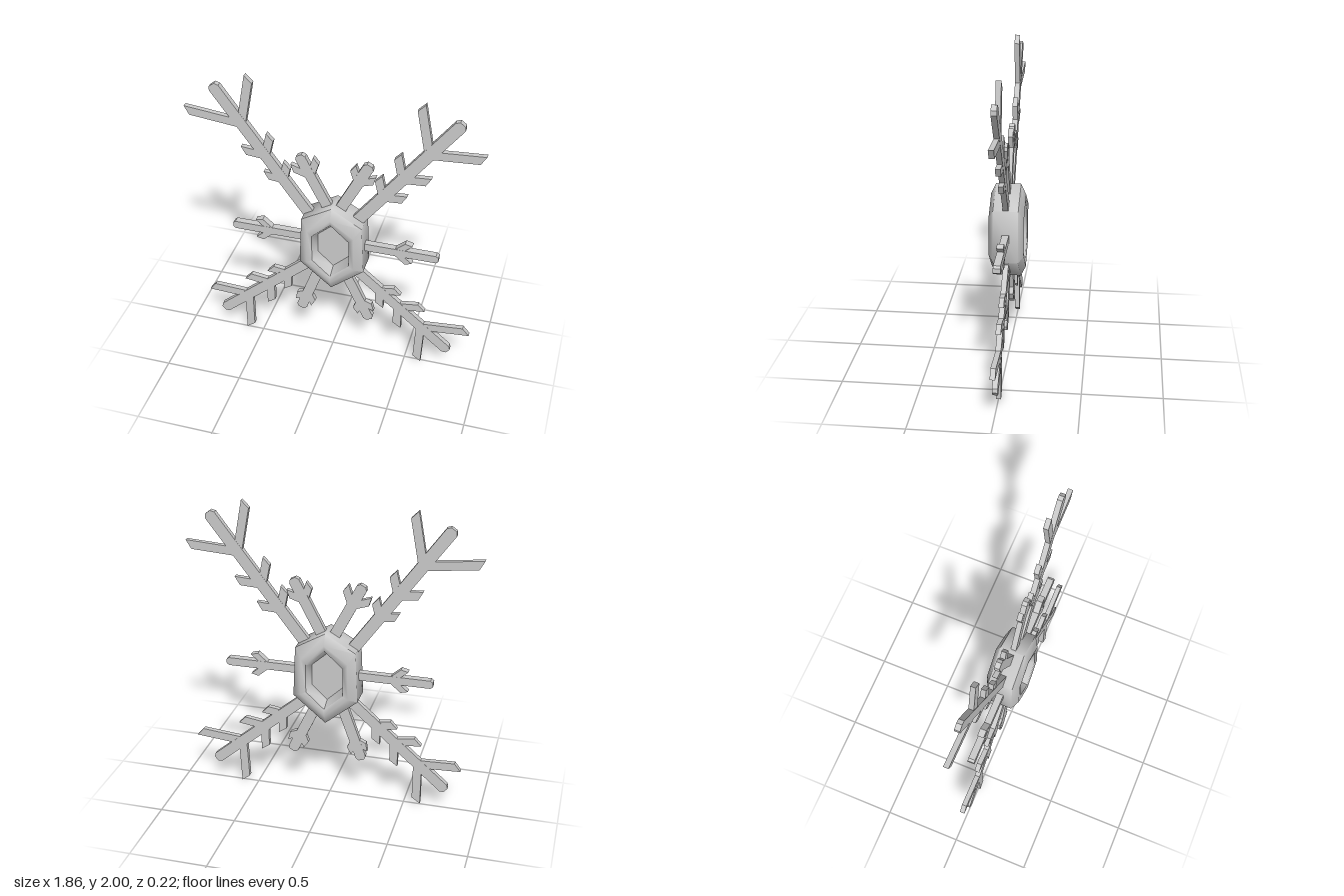
import * as THREE from 'three';
import { toCreasedNormals } from 'three/addons/utils/BufferGeometryUtils.js';

const material = new THREE.MeshStandardMaterial({ color: 0xcccccc });
const vec = (x, y) => new THREE.Vector2(x, y);

// Flat bar from a to b: chamfered tip, or a slanted one when slant is not 0
function bar(a, b, width, depth, slant, name) {
  const d = b.clone().sub(a).normalize();
  const n = vec(-d.y, d.x);
  const at = (o, side, along) => o.clone().addScaledVector(n, side * width).addScaledVector(d, along * width);
  const tip = slant
    ? [at(b, -0.5, 0.35 * slant), at(b, 0.5, -0.35 * slant)]
    : [at(b, -0.5, -0.2), at(b, -0.27, 0.1), at(b, 0.27, 0.1), at(b, 0.5, -0.2)];
  const shape = new THREE.Shape([at(a, -0.5, 0), ...tip, at(a, 0.5, 0)]);
  const geometry = new THREE.ExtrudeGeometry(shape, { depth, bevelEnabled: false });
  geometry.translate(0, 0, -depth / 2);
  const mesh = new THREE.Mesh(geometry, material);
  mesh.name = name;
  return mesh;
}

// Stem with pairs of branches. A pair sits at a fraction of the stem and has
// a length and an angle (degrees from the stem) for each of its two sides.
function createArm(name, base, tip, width, depth, pairs) {
  const arm = new THREE.Group();
  arm.name = name;
  arm.add(bar(base, tip, width, depth, 0, 'stem'));
  const heading = tip.clone().sub(base).angle();
  for (const { at, lengths, angles, thickness } of pairs) {
    const start = base.clone().lerp(tip, at);
    [1, -1].forEach((side, i) => {
      const turn = heading + side * THREE.MathUtils.degToRad(angles[i]);
      const end = vec(Math.cos(turn), Math.sin(turn)).multiplyScalar(lengths[i]).add(start);
      arm.add(bar(start, end, thickness, depth - 0.002, side, 'branch'));
    });
  }
  return arm;
}

// Long arm: wide fork near the tip and two pairs of twigs below it
function longArm(name, base, tip, width, fork, middle, lower) {
  const twigs = (at, length) => ({ at, lengths: [length, length], angles: [49, 49], thickness: 0.053 });
  return createArm(name, base, tip, width, 0.034, [
    { at: 0.725, thickness: 0.055, ...fork }, twigs(0.49, middle), twigs(0.31, lower)]);
}

// Short arm: one pair of twigs
function shortArm(name, base, tip, length) {
  return createArm(name, base, tip, 0.07, 0.034, [
    { at: 0.65, lengths: [length, length], angles: [45, 45], thickness: 0.048 }]);
}

// Horizontal arm: thicker, with one pair of twigs
function sideArm(name, side, reach) {
  return createArm(name, vec(0.15 * side, 0.9), vec(reach * side, 0.9), 0.053, 0.044, [
    { at: 0.49, lengths: [0.113, 0.113], angles: [41, 41], thickness: 0.04 }]);
}

// Hexagonal ring, counter-clockwise seen from the front
function hexRing(top, upperX, upperY, lowerX, lowerY, bottom, z) {
  const cx = 0.01;
  return [[cx, top, z], [cx - upperX, upperY, z], [cx - lowerX, lowerY, z],
    [cx, bottom, z], [cx + lowerX, lowerY, z], [cx + upperX, upperY, z]];
}

// Closed loft from the back recess, round the rim, to the front recess
function createHub() {
  const front = [
    hexRing(1.195, 0.195, 1.08, 0.21, 0.745, 0.57, 0.078),   // outer wall edge
    hexRing(1.125, 0.15, 1.015, 0.155, 0.77, 0.635, 0.11),   // crest
    hexRing(1.09, 0.12, 0.98, 0.12, 0.79, 0.68, 0.105),      // recess lip
    hexRing(1.04, 0.1, 0.95, 0.1, 0.81, 0.715, 0.03),        // recess floor
  ];
  const back = front.map(ring => ring.map(([x, y, z]) => [x, y, -z])).reverse();
  const rings = [...back, ...front];
  const index = [];
  for (let r = 0; r < rings.length - 1; r++) {
    for (let i = 0; i < 6; i++) {
      const a = r * 6 + i, b = r * 6 + (i + 1) % 6;
      index.push(a, b, b + 6, a, b + 6, a + 6);
    }
  }
  // Recess floors
  const last = (rings.length - 1) * 6;
  for (let i = 1; i < 5; i++) {
    index.push(0, i + 1, i, last, last + i, last + i + 1);
  }
  const geometry = new THREE.BufferGeometry();
  geometry.setAttribute('position', new THREE.Float32BufferAttribute(rings.flat(2), 3));
  geometry.setIndex(index);
  const hub = new THREE.Mesh(toCreasedNormals(geometry, 1.1), material);
  hub.name = 'hub';
  return hub;
}

export function createModel() {
  const model = new THREE.Group();
  model.name = 'snowflake';
  model.add(
    createHub(),
    longArm('upperLeftLongArm', vec(0.115, 1.035), vec(0.765, 1.89), 0.075,
      { lengths: [0.316, 0.32], angles: [48, 49] }, 0.16, 0.136),
    longArm('upperRightLongArm', vec(-0.125, 1.045), vec(-0.745, 1.91), 0.075,
      { lengths: [0.352, 0.32], angles: [48, 46] }, 0.14, 0.11),
    longArm('lowerLeftLongArm', vec(0.105, 0.74), vec(0.785, 0.155), 0.07,
      { lengths: [0.3, 0.285], angles: [46, 52] }, 0.16, 0.12),
    longArm('lowerRightLongArm', vec(-0.1, 0.745), vec(-0.77, 0.155), 0.07,
      { lengths: [0.275, 0.26], angles: [49, 44] }, 0.156, 0.117),
    shortArm('upperLeftShortArm', vec(0.035, 1.13), vec(0.23, 1.51), 0.107),
    shortArm('upperRightShortArm', vec(-0.015, 1.125), vec(-0.21, 1.505), 0.122),
    shortArm('lowerLeftShortArm', vec(0.075, 0.68), vec(0.25, 0.305), 0.09),
    shortArm('lowerRightShortArm', vec(-0.085, 0.665), vec(-0.215, 0.3), 0.087),
    sideArm('leftSideArm', 1, 0.68),
    sideArm('rightSideArm', -1, 0.66),
  );
  return model;
}
